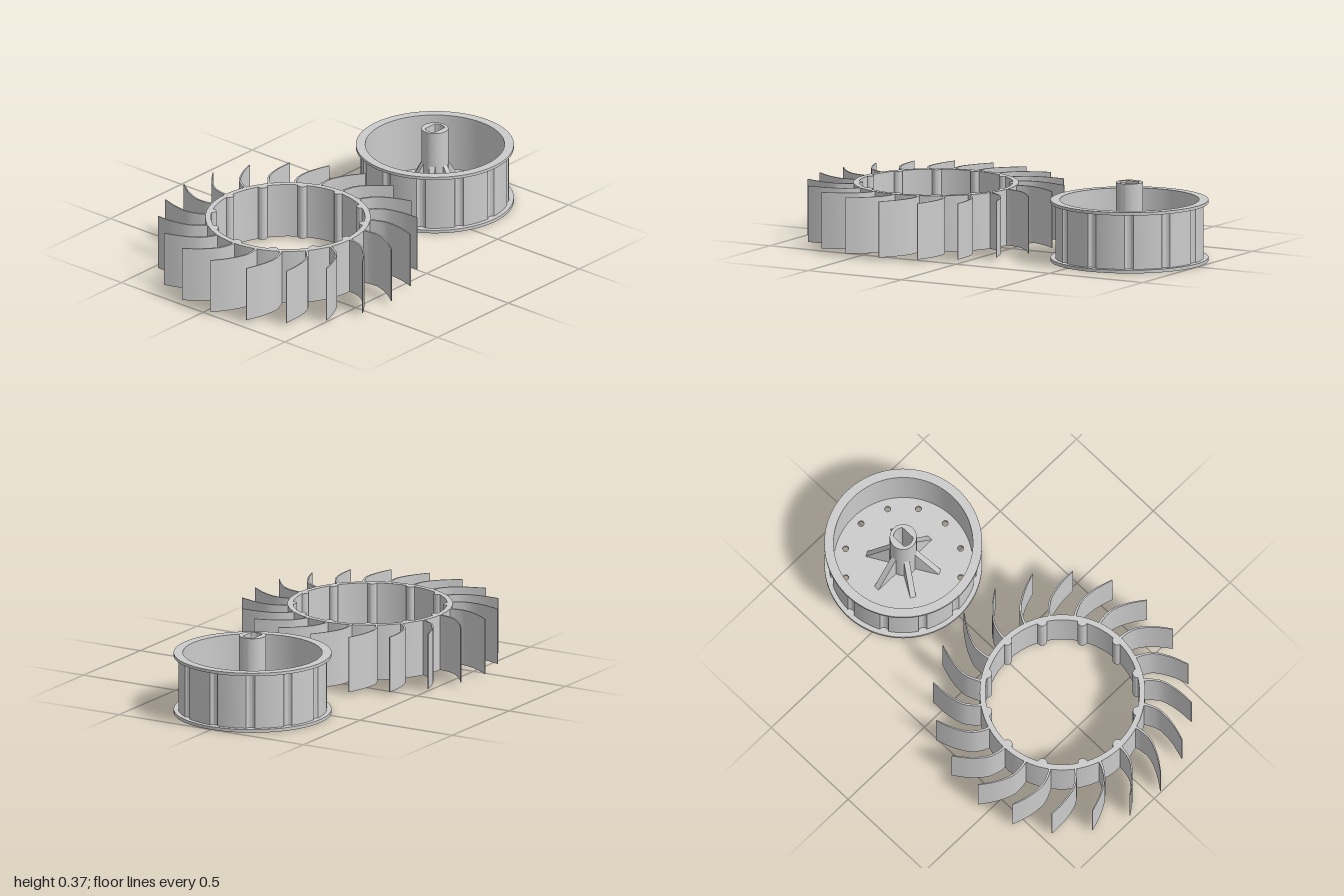
import * as THREE from 'three';
import { toCreasedNormals } from 'three/addons/utils/BufferGeometryUtils.js';

const TAU = Math.PI * 2;
const NOTCHES = 12, BLADES = 20, RIBS = 6;
const material = new THREE.MeshStandardMaterial({ color: 0xcccccc });

// Points along an arc, both ends included.
function arc(cx, cy, r, a0, a1, n) {
  return Array.from({ length: n + 1 }, (_, i) => {
    const a = a0 + (a1 - a0) * i / n;
    return new THREE.Vector2(cx + r * Math.cos(a), cy + r * Math.sin(a));
  });
}

const circle = (r, n = 96, cx = 0, cy = 0) => arc(cx, cy, r, 0, TAU, n).slice(0, -1);

// Circle of radius R with round notches of radius g centred at distance c.
function notchedCircle(R, c, g) {
  const half = Math.acos((R * R + c * c - g * g) / (2 * R * c));
  const phi = Math.atan2(R * Math.sin(half), R * Math.cos(half) - c);
  const step = TAU / NOTCHES, pts = [];
  for (let k = 0; k < NOTCHES; k++) {
    const t = k * step;
    pts.push(...arc(c * Math.cos(t), c * Math.sin(t), g, t + TAU - phi, t + phi, 10));
    pts.push(...arc(0, 0, R, t + half, t + step - half, 10).slice(1, -1));
  }
  return pts;
}

// Plan outline with holes, raised from y0 to y1.
function prism(name, outline, holes, y0, y1) {
  const shape = new THREE.Shape(outline);
  holes.forEach(h => shape.holes.push(new THREE.Path(h)));
  const geo = new THREE.ExtrudeGeometry(shape, { depth: y1 - y0, bevelEnabled: false });
  geo.rotateX(-Math.PI / 2).translate(0, y0, 0);
  const mesh = new THREE.Mesh(toCreasedNormals(geo, 0.5), material);
  mesh.name = name;
  return mesh;
}

function createHub() {
  const hub = new THREE.Group();
  hub.name = 'hub';

  // Floor with a ring of through holes, notched wall, upper flange
  const holes = Array.from({ length: NOTCHES }, (_, k) => {
    const a = k * TAU / NOTCHES;
    return circle(0.014, 16, 0.275 * Math.cos(a), 0.275 * Math.sin(a));
  });
  hub.add(prism('hubFloor', circle(0.365), holes, 0, 0.015));
  hub.add(prism('hubWall', notchedCircle(0.343, 0.352, 0.023), [circle(0.322)], 0.015, 0.271));
  hub.add(prism('hubFlange', circle(0.365), [circle(0.322)], 0.271, 0.285));

  // Central post with a two-flat socket
  const a = Math.acos(0.03 / 0.046);
  const socket = [
    ...arc(0, 0, 0.046, a, Math.PI - a, 12),
    ...arc(0, 0, 0.046, Math.PI + a, TAU - a, 12),
  ];
  hub.add(prism('post', circle(0.0625, 48), [socket], 0.015, 0.367));

  // Triangular ribs bracing the post
  const triangle = new THREE.Shape([
    new THREE.Vector2(0.056, 0.015),
    new THREE.Vector2(0.175, 0.015),
    new THREE.Vector2(0.06, 0.2),
  ]);
  const ribGeo = new THREE.ExtrudeGeometry(triangle, { depth: 0.027, bevelEnabled: false });
  ribGeo.translate(0, 0, -0.0135);
  for (let k = 0; k < RIBS; k++) {
    const rib = new THREE.Mesh(ribGeo, material);
    rib.name = 'postRib';
    rib.rotation.y = k * TAU / RIBS;
    hub.add(rib);
  }
  return hub;
}

function createBladeRing() {
  const ring = new THREE.Group();
  ring.name = 'bladeRing';
  const y0 = 0.014, y1 = 0.277;

  // Sleeve whose inner bumps match the hub notches
  ring.add(prism('sleeve', circle(0.382), [notchedCircle(0.356, 0.36, 0.023)], y0, y1));

  // Curved blade, tapering toward the tip
  const spine = new THREE.SplineCurve([
    [0.37, 0], [0.41, -0.003], [0.467, -0.022], [0.53, -0.077], [0.581, -0.143],
  ].map(p => new THREE.Vector2(...p)));
  const n = 20, sideA = [], sideB = [];
  for (let i = 0; i <= n; i++) {
    const p = spine.getPoint(i / n), t = spine.getTangent(i / n);
    const w = THREE.MathUtils.lerp(0.006, 0.002, i / n);
    sideA.push(new THREE.Vector2(p.x + t.y * w, p.y - t.x * w));
    sideB.unshift(new THREE.Vector2(p.x - t.y * w, p.y + t.x * w));
  }
  const blade = prism('blade', [...sideA, ...sideB], [], y0, y1);
  for (let k = 0; k < BLADES; k++) {
    const copy = blade.clone();
    copy.rotation.y = k * TAU / BLADES;
    ring.add(copy);
  }
  return ring;
}

export function createModel() {
  const model = new THREE.Group();
  model.name = 'paddleWheelParts';
  const hub = createHub();
  hub.position.z = -0.635;
  const ring = createBladeRing();
  ring.position.z = 0.402;
  model.add(hub, ring);
  return model;
}
